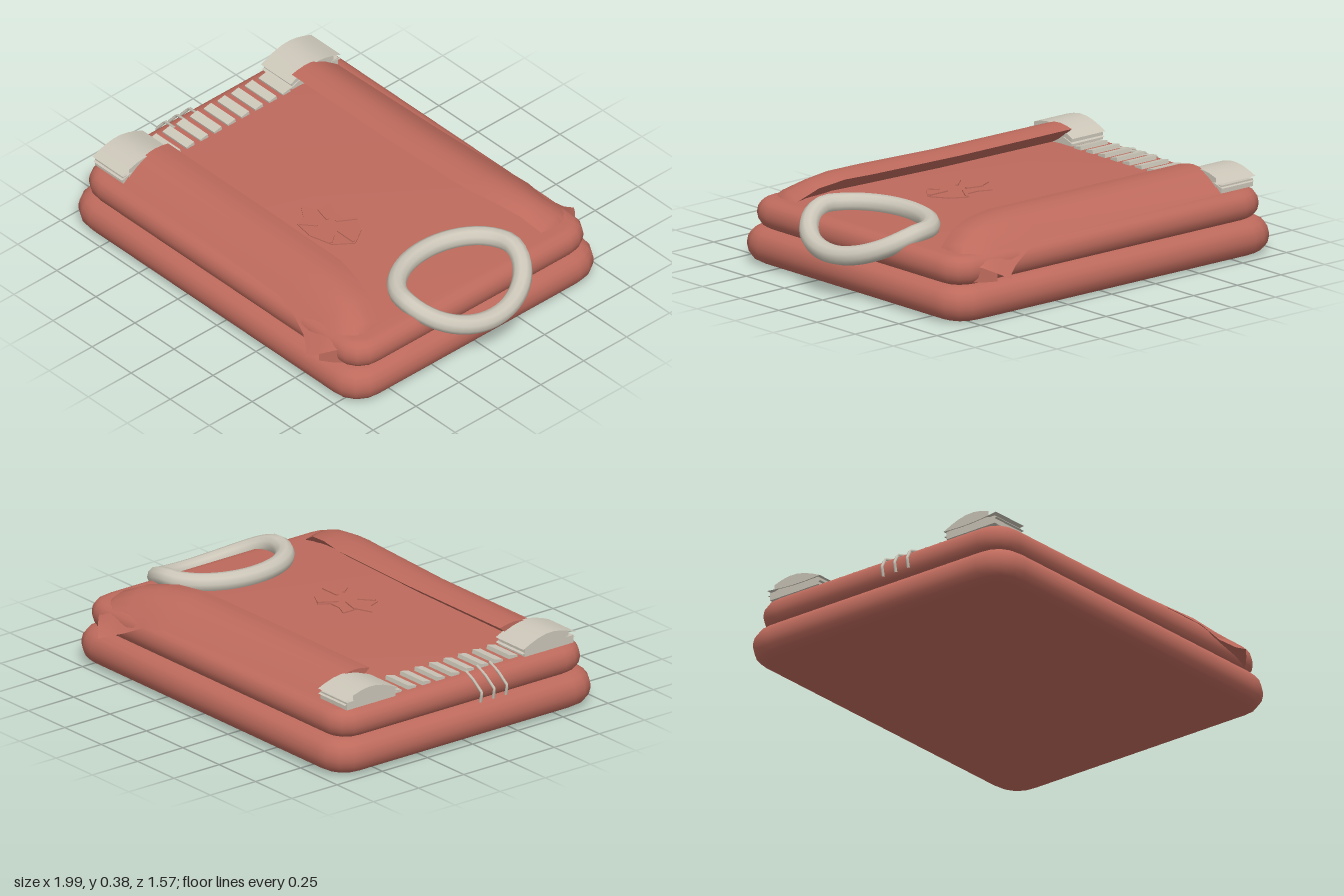
import * as THREE from 'three';
import { toCreasedNormals } from 'three/addons/utils/BufferGeometryUtils.js';

const red = new THREE.MeshStandardMaterial({ color: 0xbd6a5c });
red.name = 'red wool';
const cream = new THREE.MeshStandardMaterial({ color: 0xcbc6b8 });
cream.name = 'cream trim';

function add(group, name, geometry, material) {
  const mesh = new THREE.Mesh(geometry, material);
  mesh.name = name;
  group.add(mesh);
  return mesh;
}

// Pillow-edged folded layer between two x limits, standing on y0
function layer(x0, x1, halfZ, y0, height, bevel, round) {
  const a = x0 + bevel, b = x1 - bevel, h = halfZ - bevel, r = round;
  const s = new THREE.Shape();
  s.moveTo(a + r, -h);
  s.lineTo(b - r, -h).quadraticCurveTo(b, -h, b, -h + r);
  s.lineTo(b, h - r).quadraticCurveTo(b, h, b - r, h);
  s.lineTo(a + r, h).quadraticCurveTo(a, h, a, h - r);
  s.lineTo(a, -h + r).quadraticCurveTo(a, -h, a + r, -h);
  const thick = height * 0.44;
  const g = new THREE.ExtrudeGeometry(s, {
    depth: height - 2 * thick, bevelThickness: thick, bevelSize: bevel, bevelSegments: 4, curveSegments: 4,
  });
  g.rotateX(-Math.PI / 2).translate(0, y0 + thick, 0);
  return toCreasedNormals(g, 0.8);
}

// Skin over closed rings of equal length, capped at both ends
function loft(rings, flip) {
  const n = rings[0].length, index = [];
  const tri = (a, b, c) => (flip ? index.push(a, c, b) : index.push(a, b, c));
  for (let i = 0; i < rings.length - 1; i++) {
    for (let j = 0; j < n; j++) {
      const a = i * n + j, b = i * n + (j + 1) % n;
      tri(a, b, a + n);
      tri(b, b + n, a + n);
    }
  }
  const last = (rings.length - 1) * n;
  for (let j = 0; j < n / 2 - 1; j++) {
    // caps are zipped between the upper and lower halves of the ring
    const p = j, q = j + 1, r = n - 1 - j, t = (n - j) % n;
    tri(p, r, q);
    tri(last + p, last + q, last + r);
    if (j > 0) {
      tri(p, t, r);
      tri(last + p, last + r, last + t);
    }
  }
  const g = new THREE.BufferGeometry();
  g.setAttribute('position', new THREE.Float32BufferAttribute(rings.flat(2), 3));
  g.setIndex(index);
  return toCreasedNormals(g, 0.8);
}

// Lens-shaped ring from an inner edge to an outer edge
function lens(inner, outer, up, down, push, side) {
  const ring = [], steps = 7;
  for (let k = 0; k < 2 * steps; k++) {
    const upper = k < steps;
    const t = upper ? k / steps : 2 - k / steps;
    const w = Math.sin(Math.PI * t);
    const at = (i) => inner[i] + (outer[i] - inner[i]) * t;
    ring.push([at(0) + push * w, at(1) + (upper ? up : -down) * w, side * at(2)]);
  }
  return ring;
}

function sleeve(side) {
  // inner edge, outer edge, upper bulge, lower bulge, forward push
  const stations = [
    [[-0.74, 0.365, 0.36], [-0.74, 0.285, 0.625], 0.045, 0.045, 0],
    [[-0.1, 0.365, 0.36], [-0.1, 0.285, 0.64], 0.045, 0.045, 0],
    [[0.38, 0.37, 0.37], [0.3, 0.285, 0.66], 0.05, 0.045, 0],
    [[0.52, 0.365, 0.4], [0.42, 0.265, 0.685], 0.055, 0.04, 0.02],
    [[0.64, 0.34, 0.435], [0.51, 0.22, 0.71], 0.065, 0.035, 0.03],
    [[0.73, 0.29, 0.47], [0.575, 0.195, 0.75], 0.065, 0.03, 0.04],
    [[0.78, 0.22, 0.51], [0.6, 0.185, 0.785], 0.05, 0.03, 0.055],
  ];
  return loft(stations.map((s) => lens(...s, side)), side < 0);
}

export function createModel() {
  const model = new THREE.Group();
  model.name = 'foldedSweater';

  // Folded body
  add(model, 'lowerFold', layer(-0.99, 0.868, 0.735, 0, 0.16, 0.08, 0.08), red);
  add(model, 'upperFold', layer(-0.955, 0.835, 0.695, 0.155, 0.13, 0.06, 0.08), red);

  // Sleeves and layered cuffs
  for (const side of [1, -1]) {
    const name = side > 0 ? 'left' : 'right';
    add(model, name + 'Sleeve', sleeve(side), red);
    const cuff = new THREE.Group();
    cuff.name = name + 'Cuff';
    for (const [y, up, down, x0] of [[0.335, 0.04, 0.008, -0.92], [0.312, 0.03, 0.02, -0.915]]) {
      const rings = [x0, -0.73].map((x) =>
        lens([x, y - 0.01, 0.345], [x, y, 0.638], up, down, 0, side));
      add(cuff, 'cuffLayer', loft(rings, side < 0), cream);
    }
    add(cuff, 'cuffBase', new THREE.BoxGeometry(0.18, 0.035, 0.27), cream)
      .position.set(-0.825, 0.305, side * 0.492);
    model.add(cuff);
  }

  // Hem ribbing
  const hem = new THREE.Group();
  hem.name = 'hemRibbing';
  for (let i = 0; i < 9; i++) {
    const rib = add(hem, 'rib', new THREE.BoxGeometry(0.155, 0.025, 0.045), cream);
    rib.position.set(-0.81, 0.286, -0.325 + i * 0.08);
    rib.rotation.x = 0.2;
  }
  model.add(hem);

  // Loose threads over the hem edge
  for (const z of [0.045, 0.115, 0.185]) {
    const path = new THREE.CurvePath();
    const pts = [[-0.87, 0.29, z + 0.015], [-0.95, 0.272, z], [-0.99, 0.22, z + 0.015], [-0.98, 0.175, z + 0.015]]
      .map((p) => new THREE.Vector3(...p));
    for (let i = 0; i < 3; i++) path.add(new THREE.LineCurve3(pts[i], pts[i + 1]));
    add(model, 'thread', new THREE.TubeGeometry(path, 12, 0.007, 5), cream);
  }

  // Collar drooping over the front edge
  const loop = [];
  for (let i = 0; i < 20; i++) {
    const a = (i / 20) * Math.PI * 2, c = Math.cos(a);
    loop.push(new THREE.Vector3(0.73 + 0.225 * c, 0.31 - 0.11 * Math.pow(Math.max(0, c), 1.4), 0.305 * Math.sin(a)));
  }
  const collar = new THREE.CatmullRomCurve3(loop, true);
  add(model, 'collar', new THREE.TubeGeometry(collar, 48, 0.043, 10, true), cream);

  // Leaf emblem with raised veins
  const outline = [[-0.1, 0.17], [-0.03, 0.14], [-0.03, 0.065], [0.03, 0.09], [0.09, 0.09], [0.12, 0.045],
    [0.2, 0.09], [0.25, 0.17], [0.19, 0.25], [0.08, 0.28], [-0.02, 0.265], [-0.04, 0.21]];
  const leaf = new THREE.Shape(outline.map(([x, z]) => new THREE.Vector2(x, -z)));
  const leafGeo = new THREE.ExtrudeGeometry(leaf, { depth: 0.006, bevelEnabled: false });
  add(model, 'leafEmblem', leafGeo.rotateX(-Math.PI / 2).translate(0, 0.284, 0), red);
  for (const [x0, z0, x1, z1] of [[-0.03, 0.13, 0.05, 0.15], [0.08, 0.13, 0.13, 0.05],
    [0.14, 0.17, 0.24, 0.17], [0.15, 0.21, 0.18, 0.25], [-0.01, 0.26, 0.05, 0.21]]) {
    const vein = add(model, 'leafVein',
      new THREE.BoxGeometry(Math.hypot(x1 - x0, z1 - z0), 0.009, 0.012), red);
    vein.position.set((x0 + x1) / 2, 0.291, (z0 + z1) / 2);
    vein.rotation.y = -Math.atan2(z1 - z0, x1 - x0);
  }
  return model;
}
